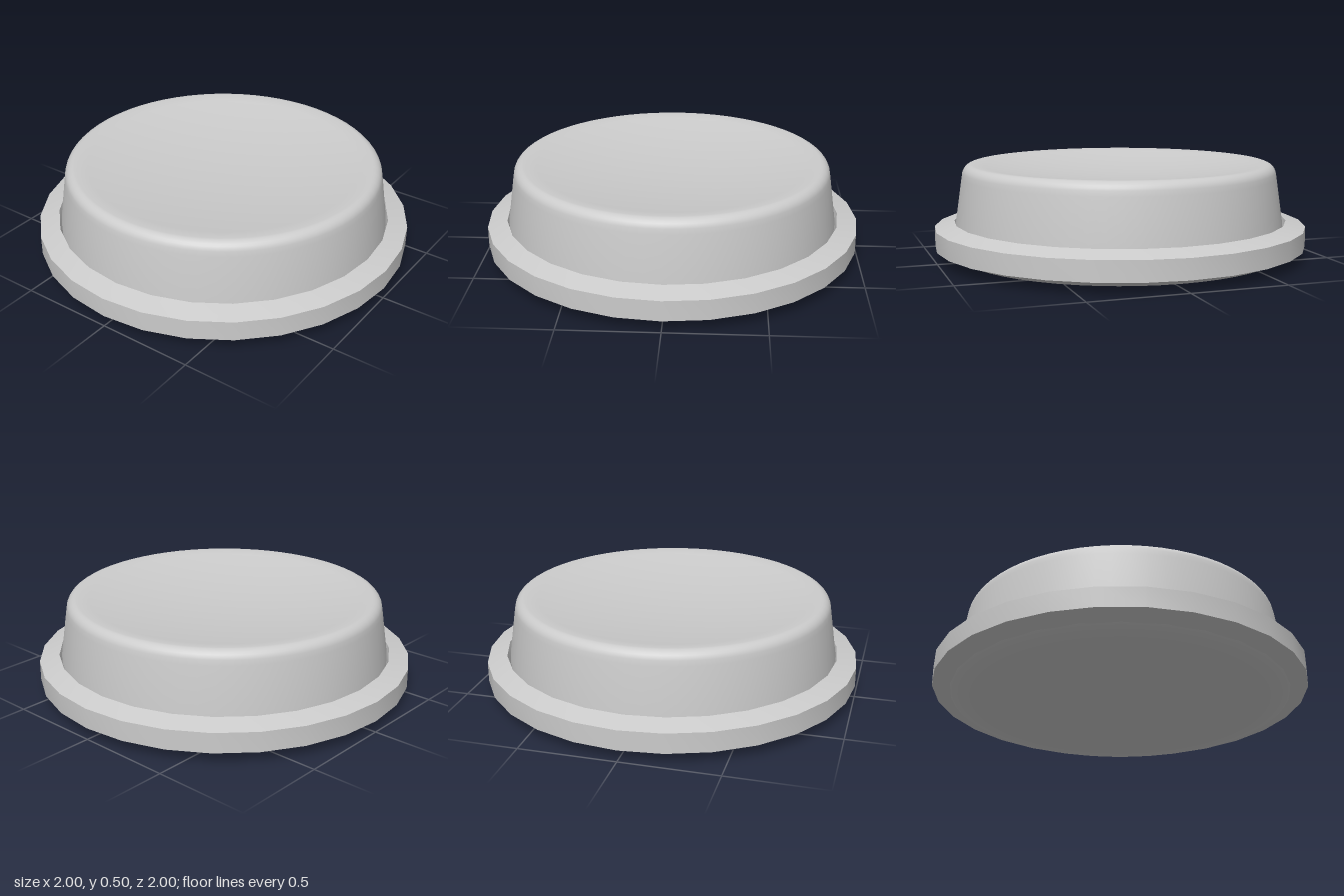
import * as THREE from 'three';
import { toCreasedNormals } from 'three/addons/utils/BufferGeometryUtils.js';

const material = new THREE.MeshStandardMaterial({ color: 0xcccccc });

// Turned part from [radius, height] pairs, listed bottom to top along the outside
function turned(name, profile, segments, crease) {
  const points = profile.map(([r, y]) => new THREE.Vector2(r, y));
  const geometry = toCreasedNormals(new THREE.LatheGeometry(points, segments), crease);
  const mesh = new THREE.Mesh(geometry, material);
  mesh.name = name;
  return mesh;
}

export function createModel() {
  const group = new THREE.Group();
  group.name = 'flangedButton';

  // Flange ring: sloping underside, vertical rim, sloping top and a chamfered bore
  group.add(turned('flange', [
    [0.9, 0.028], [1, 0.06], [1, 0.165], [0.895, 0.195], [0.875, 0.13],
  ], 28, 0.5));

  // Underside: slightly hollow disc with a soft outer edge
  group.add(turned('underside', [
    [0, 0.014], [0.25, 0.012], [0.5, 0.006], [0.7, 0], [0.8, 0.008], [0.89, 0.02], [0.91, 0.035],
  ], 56, 0.8));

  // Cap: tapered wall, rounded rim and dished top
  const profile = [[0.884, 0.12], [0.88, 0.2], [0.846, 0.43]];
  const rim = 0.79;
  for (let i = 1; i <= 7; i++) {
    const a = (i / 7) * Math.PI / 2;
    profile.push([rim + 0.053 * Math.cos(a), 0.445 + 0.055 * Math.sin(a)]);
  }
  const dishDepth = 0.065;
  for (let i = 1; i <= 12; i++) {
    const t = 1 - i / 12;
    profile.push([rim * t, 0.5 - dishDepth * (1 - t * t)]);
  }
  const cap = turned('cap', profile, 64, 0.6);
  cap.position.set(0.004, 0, 0.003);
  group.add(cap);

  return group;
}
